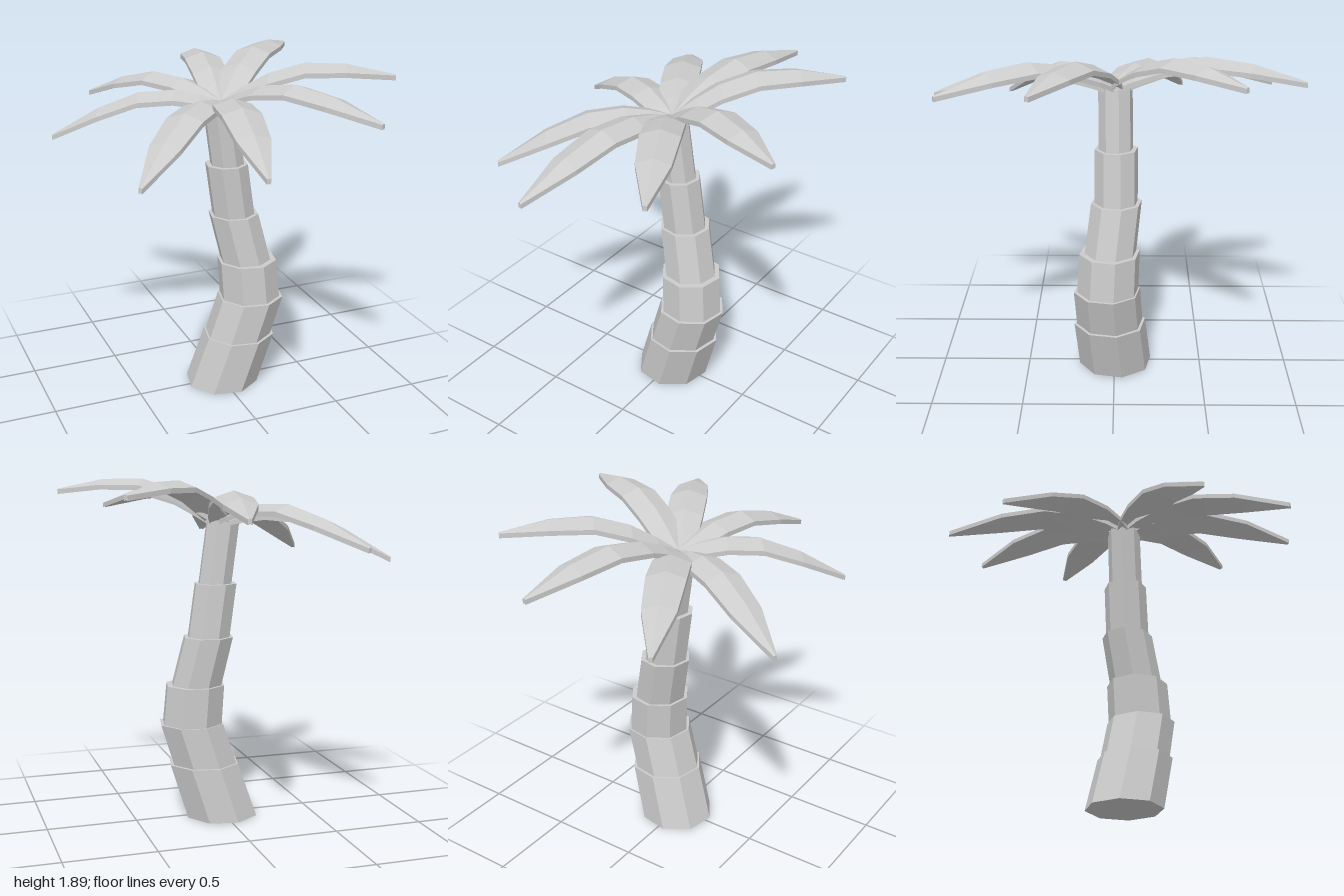
import * as THREE from 'three';

const material = new THREE.MeshStandardMaterial({ color: 0xcccccc, flatShading: true, side: THREE.DoubleSide });
const CROWN_Y = 1.68;

// Trunk sections: [bottom y, top y, bottom x, z, radius, top x, z, radius]
const SECTIONS = [
  [0, 0.305, 0.005, -0.005, 0.21, 0.1, 0.025, 0.205],
  [0.305, 0.535, 0.095, 0.025, 0.19, 0.165, 0.04, 0.188],
  [0.535, 0.757, 0.162, 0.035, 0.174, 0.147, 0.025, 0.17],
  [0.757, 1.03, 0.14, 0.02, 0.145, 0.08, -0.012, 0.142],
  [1.03, 1.325, 0.078, -0.01, 0.121, 0.037, -0.01, 0.12],
  [1.325, 1.665, 0.04, -0.008, 0.095, -0.007, -0.005, 0.094],
];

// Eight-sided leaning drum: a cylinder sheared between two centres
function trunkSection([y0, y1, x0, z0, r0, x1, z1, r1]) {
  const geometry = new THREE.CylinderGeometry(r1, r0, y1 - y0, 8, 1);
  geometry.rotateY(THREE.MathUtils.degToRad(11));
  geometry.translate(0, (y1 - y0) / 2, 0);
  const p = geometry.attributes.position;
  for (let i = 0; i < p.count; i++) {
    const t = p.getY(i) / (y1 - y0);
    p.setXYZ(i,
      p.getX(i) + THREE.MathUtils.lerp(x0, x1, t),
      p.getY(i) + y0,
      p.getZ(i) + THREE.MathUtils.lerp(z0, z1, t));
  }
  geometry.computeVertexNormals();
  return geometry;
}

// Leaf stations: [fraction of length, arch height, half width, droop of the edges]
const STATIONS = [
  [0, 0, 0.06, 0.025],
  [0.12, 0.058, 0.088, 0.03],
  [0.27, 0.112, 0.1, 0.035],
  [0.48, 0.138, 0.102, 0.035],
  [0.72, 0.097, 0.086, 0.03],
  [1, 0, 0.01, 0.004],
];

// Thick arched leaf along +x with a raised midrib
function leafGeometry(length, rise) {
  const thick = 0.026;
  const positions = [];
  const index = [];
  for (const [t, arch, w, droop] of STATIONS) {
    const x = t * length;
    const y = arch + rise * t;
    positions.push(
      x, y - droop, -w, x, y, 0, x, y - droop, w,
      x, y - droop - thick, w, x, y - thick, 0, x, y - droop - thick, -w);
  }
  const last = STATIONS.length - 1;
  for (let i = 0; i < last; i++) {
    for (let j = 0; j < 6; j++) {
      const a = i * 6 + j, b = i * 6 + (j + 1) % 6;
      index.push(a, b, b + 6, a, b + 6, a + 6);
    }
  }
  // End caps, each made of two quads either side of the midrib
  const e = last * 6;
  for (const [a, b, c, d] of [[0, 1, 4, 5], [1, 2, 3, 4]]) {
    index.push(a, c, b, a, d, c);
    index.push(e + a, e + b, e + c, e + a, e + c, e + d);
  }
  const geometry = new THREE.BufferGeometry();
  geometry.setAttribute('position', new THREE.Float32BufferAttribute(positions, 3));
  geometry.setIndex(index);
  geometry.computeVertexNormals();
  return geometry;
}

// Leaf tips: [x, y, z]
const TIPS = [
  [0.18, 1.735, -1], [0.67, 1.835, -0.635], [0.83, 1.835, 0.395], [0.47, 1.735, 0.89],
  [-0.18, 1.58, 1], [-0.67, 1.48, 0.63], [-0.83, 1.48, -0.4], [-0.47, 1.58, -0.9],
];

export function createModel() {
  const model = new THREE.Group();
  model.name = 'palmTree';

  const trunk = new THREE.Group();
  trunk.name = 'trunk';
  SECTIONS.forEach((section, i) => {
    const mesh = new THREE.Mesh(trunkSection(section), material);
    mesh.name = `trunkSection${i + 1}`;
    trunk.add(mesh);
  });

  const crown = new THREE.Group();
  crown.name = 'crown';
  crown.position.y = CROWN_Y;
  TIPS.forEach(([x, y, z], i) => {
    const leaf = new THREE.Mesh(leafGeometry(Math.hypot(x, z), y - CROWN_Y), material);
    leaf.name = `leaf${i + 1}`;
    leaf.rotation.y = -Math.atan2(z, x);
    crown.add(leaf);
  });

  model.add(trunk, crown);
  return model;
}
